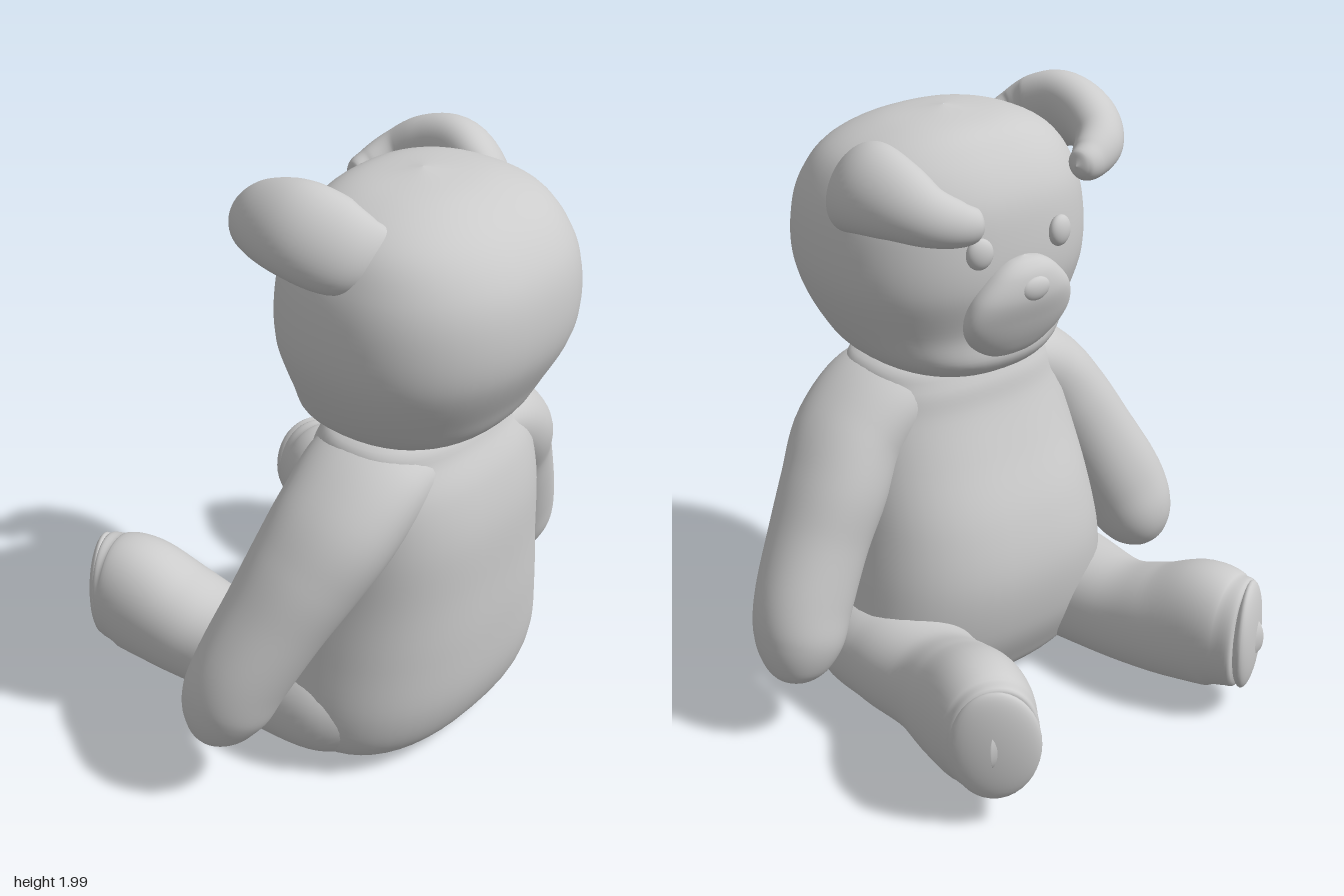
import * as THREE from 'three';

const material = new THREE.MeshStandardMaterial({ color: 0xcccccc });

// Smooth closed skin swept through keys [x, y, z, radiusU, radiusV].
// ref is the direction of radiusU; level keeps every ring horizontal.
function sweep(name, keys, { ref = [1, 0, 0], n = 2, level = false, rings = 64, sides = 48 } = {}) {
  const spine = new THREE.CatmullRomCurve3(keys.map(k => new THREE.Vector3(k[0], k[1], k[2])), false, 'catmullrom');
  const size = new THREE.CatmullRomCurve3(keys.map(k => new THREE.Vector3(k[3], k[4], 0)), false, 'catmullrom');
  const power = c => Math.sign(c) * Math.abs(c) ** (2 / n);
  const pos = [], index = [];
  for (let i = 0; i <= rings; i++) {
    const t = i / rings;
    const c = spine.getPoint(t), r = size.getPoint(t);
    const T = level ? new THREE.Vector3(0, 1, 0) : spine.getTangent(t);
    const u = new THREE.Vector3(...ref);
    u.addScaledVector(T, -u.dot(T)).normalize();
    const v = new THREE.Vector3().crossVectors(T, u);
    for (let j = 0; j < sides; j++) {
      const a = (j / sides) * Math.PI * 2;
      const p = c.clone()
        .addScaledVector(u, Math.max(r.x, 0.001) * power(Math.cos(a)))
        .addScaledVector(v, Math.max(r.y, 0.001) * power(Math.sin(a)));
      pos.push(p.x, p.y, p.z);
      if (i < rings) {
        const k = (j + 1) % sides, b = i * sides, d = b + sides;
        index.push(b + j, b + k, d + j, b + k, d + k, d + j);
      }
    }
  }
  const g = new THREE.BufferGeometry();
  g.setAttribute('position', new THREE.Float32BufferAttribute(pos, 3));
  g.setIndex(index);
  g.computeVertexNormals();
  const mesh = new THREE.Mesh(g, material);
  mesh.name = name;
  return mesh;
}

function ellipsoid(name, center, radii, rotation = [0, 0, 0]) {
  const mesh = new THREE.Mesh(new THREE.SphereGeometry(1, 32, 20), material);
  mesh.name = name;
  mesh.position.set(...center);
  mesh.scale.set(...radii);
  mesh.rotation.set(...rotation);
  return mesh;
}

// Moves keys to one side of the body, with an optional offset
const onSide = (keys, s, [dx, dy, dz] = [0, 0, 0]) =>
  keys.map(([x, y, z, a, b]) => [x + dx, y + dy, s * (z + dz), a, b]);

export function createModel() {
  const bear = new THREE.Group();
  bear.name = 'teddyBear';

  // Torso: rounded sack, narrowing to the neck
  bear.add(sweep('torso', [
    [0.24, 0.008, 0, 0, 0], [0.24, 0.012, 0, 0.14, 0.25], [0.24, 0.035, 0, 0.25, 0.39],
    [0.25, 0.11, 0, 0.315, 0.475], [0.245, 0.25, 0, 0.37, 0.5], [0.24, 0.45, 0, 0.39, 0.48],
    [0.26, 0.65, 0, 0.37, 0.45], [0.3, 0.85, 0, 0.325, 0.425], [0.315, 1.0, 0, 0.28, 0.4],
    [0.305, 1.1, 0, 0.245, 0.36], [0.31, 1.18, 0, 0.19, 0.3], [0.31, 1.23, 0, 0, 0],
  ], { level: true, n: 2.4 }));

  // Head
  bear.add(sweep('head', [
    [0.25, 1.115, 0, 0, 0], [0.25, 1.13, 0, 0.2, 0.2], [0.28, 1.19, 0, 0.31, 0.33],
    [0.315, 1.3, 0, 0.345, 0.41], [0.33, 1.45, 0, 0.4, 0.465], [0.335, 1.6, 0, 0.405, 0.468],
    [0.33, 1.73, 0, 0.375, 0.435], [0.32, 1.84, 0, 0.295, 0.36], [0.3, 1.91, 0, 0.18, 0.21],
    [0.3, 1.94, 0, 0, 0],
  ], { level: true, n: 2.3 }));

  // Face: egg-shaped muzzle, wide at the bottom
  bear.add(sweep('muzzle', [
    [-0.02, 1.21, 0, 0, 0], [-0.025, 1.225, 0, 0.03, 0.09], [-0.035, 1.28, 0, 0.055, 0.17],
    [-0.05, 1.35, 0, 0.07, 0.205], [-0.065, 1.43, 0, 0.08, 0.185], [-0.075, 1.5, 0, 0.065, 0.125],
    [-0.08, 1.54, 0, 0.035, 0.065], [-0.08, 1.555, 0, 0, 0],
  ], { level: true, n: 2.2 }));
  bear.add(ellipsoid('nose', [-0.135, 1.46, 0], [0.023, 0.04, 0.055], [0, 0, 0.1]));

  for (const s of [1, -1]) {
    const left = s === 1;
    bear.add(ellipsoid('eye', [-0.065, 1.59, s * 0.16], [0.027, 0.05, 0.045], [0, s * 0.2, 0]));

    // Floppy ear curling around the side of the head
    bear.add(sweep('ear', onSide([
      [-0.075, 1.785, 0.215, 0, 0], [-0.07, 1.785, 0.235, 0.045, 0.04], [-0.055, 1.79, 0.29, 0.068, 0.058],
      [-0.01, 1.82, 0.37, 0.09, 0.075], [0.08, 1.855, 0.415, 0.12, 0.09], [0.2, 1.865, 0.425, 0.14, 0.095],
      [0.31, 1.83, 0.385, 0.135, 0.085], [0.365, 1.81, 0.32, 0.1, 0.062], [0.375, 1.805, 0.255, 0.055, 0.045],
      [0.37, 1.8, 0.23, 0, 0],
    ], s, left ? [0, 0, 0] : [-0.06, -0.065, -0.015]), { ref: [0, 0.85, -0.53 * s] }));

    // Arm sloping out of the neck and hanging down
    const hand = left ? 0 : 0.07;
    bear.add(sweep('arm', onSide([
      [0.32, 1.08, 0.02, 0, 0], [0.32, 1.075, 0.08, 0.18, 0.08], [0.32, 1.045, 0.24, 0.215, 0.135],
      [0.31, 0.93, 0.39, 0.205, 0.155],
      [0.27, 0.79, 0.49, 0.185, 0.16], [0.22 + hand * 0.4, 0.64, 0.575, 0.165, 0.158],
      [0.16 + hand * 0.8, 0.46, 0.665, 0.15, 0.16], [0.125 + hand, 0.34, 0.705, 0.14, 0.145],
      [0.11 + hand, 0.255, 0.73, 0.1, 0.105], [0.105 + hand, 0.21, 0.74, 0.045, 0.05],
      [0.104 + hand, 0.2, 0.743, 0, 0],
    ], s), { n: 2.1 }));

    // Leg growing out of the hip, ending in an upright foot
    const legKeys = left ? [
      [0.5, 0.26, 0.22, 0, 0], [0.44, 0.25, 0.24, 0.1, 0.11], [0.27, 0.215, 0.31, 0.19, 0.21],
      [0.08, 0.195, 0.35, 0.188, 0.2], [-0.18, 0.2, 0.36, 0.17, 0.172], [-0.37, 0.235, 0.39, 0.19, 0.175],
      [-0.53, 0.28, 0.425, 0.215, 0.168], [-0.62, 0.285, 0.448, 0.195, 0.15],
      [-0.66, 0.285, 0.463, 0.17, 0.125], [-0.665, 0.285, 0.466, 0, 0],
    ] : [
      [0.5, 0.26, 0.22, 0, 0], [0.44, 0.25, 0.25, 0.1, 0.11], [0.27, 0.215, 0.34, 0.19, 0.225],
      [0.08, 0.2, 0.375, 0.188, 0.205], [-0.14, 0.21, 0.405, 0.175, 0.178], [-0.32, 0.25, 0.455, 0.2, 0.178],
      [-0.47, 0.295, 0.505, 0.215, 0.17], [-0.56, 0.3, 0.54, 0.195, 0.15],
      [-0.6, 0.3, 0.56, 0.17, 0.125], [-0.605, 0.3, 0.563, 0, 0],
    ];
    bear.add(sweep('leg', onSide(legKeys, s), { ref: [0, 1, 0], n: 2.1 }));

    // Padded sole facing forward and outward
    const sole = left ? [-0.665, 0.285, 0.465] : [-0.61, 0.3, 0.565];
    bear.add(ellipsoid('sole', [sole[0], sole[1], s * sole[2]], [0.04, 0.19, 0.14],
      [0, s * (left ? 0.53 : 0.64), 0]));
  }
  return bear;
}
